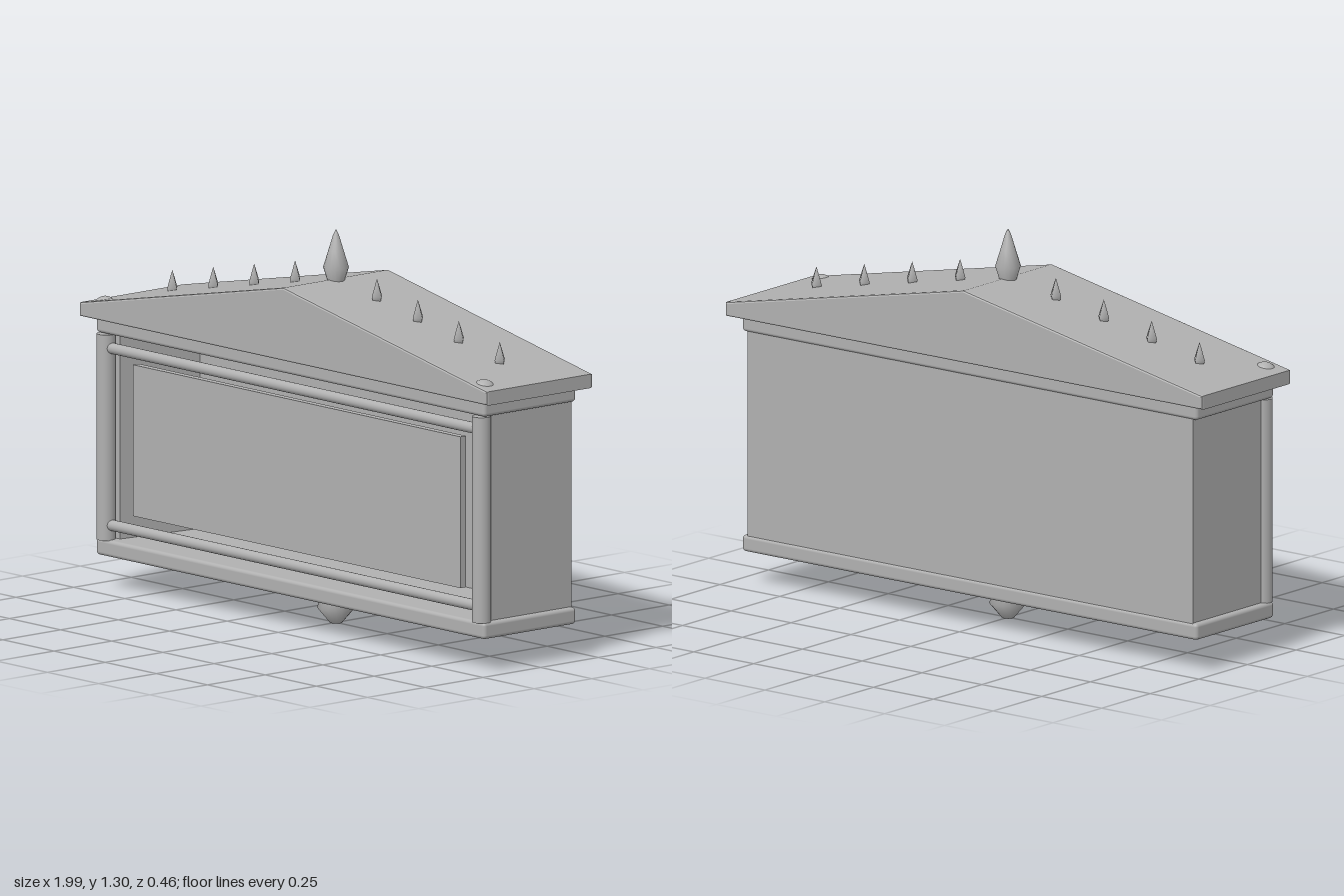
import * as THREE from 'three';
import { RoundedBoxGeometry } from 'three/addons/geometries/RoundedBoxGeometry.js';

export function createModel() {
  const model = new THREE.Group();
  const grey = new THREE.MeshStandardMaterial({ color: 0xb0b0b0 });
  grey.name = 'plain grey';

  const add = (name, geometry, x = 0, y = 0, z = 0) => {
    const mesh = new THREE.Mesh(geometry, grey);
    mesh.name = name;
    mesh.position.set(x, y, z);
    model.add(mesh);
    return mesh;
  };
  const shapeOf = (pts) => new THREE.Shape(pts.map(([x, y]) => new THREE.Vector2(x, y)));
  const lathe = (pts, sides) =>
    new THREE.LatheGeometry(pts.map(([r, y]) => new THREE.Vector2(r, y)), sides);

  // Floor and ceiling slabs with softened edges
  add('bottomSlab', new RoundedBoxGeometry(1.9, 0.055, 0.4, 3, 0.012), 0, 0.1375, 0);
  add('topSlab', new RoundedBoxGeometry(1.9, 0.055, 0.4, 3, 0.012), 0, 0.8725, 0);

  // Case walls: U-shaped plan, open at the front (plan y is -z)
  const plan = shapeOf([
    [-0.93, -0.155], [-0.88, -0.155], [-0.84, 0.155], [0.84, 0.155],
    [0.88, -0.155], [0.93, -0.155], [0.93, 0.195], [-0.93, 0.195],
  ]);
  const walls = new THREE.ExtrudeGeometry(plan, { depth: 0.69, bevelEnabled: false });
  walls.rotateX(-Math.PI / 2);
  add('caseWalls', walls, 0, 0.16, 0);

  // Display panel floating inside the front opening
  add('frontPanel', new THREE.BoxGeometry(1.6, 0.5, 0.025), 0, 0.505, 0.158);

  // Gabled roof
  const gable = shapeOf([[-0.99, 0.9], [0.99, 0.9], [0.99, 0.935], [0, 1.13], [-0.99, 0.935]]);
  const roof = new THREE.ExtrudeGeometry(gable, {
    depth: 0.44, bevelThickness: 0.01, bevelSize: 0.006, bevelSegments: 2,
  });
  add('roof', roof, 0, 0, -0.22);

  // Round corner posts, each ending in a ball that shows through the roof
  for (const side of [-1, 1]) {
    add('cornerPost', new THREE.CylinderGeometry(0.031, 0.031, 0.68, 24), side * 0.917, 0.503, 0.183);
    add('postBall', new THREE.SphereGeometry(0.04, 24, 16), side * 0.925, 0.925, 0.18);
  }

  // Horizontal rails across the front
  for (const y of [0.213, 0.798]) {
    const rail = new THREE.CylinderGeometry(0.018, 0.018, 1.79, 20);
    rail.rotateZ(Math.PI / 2);
    add('frontRail', rail, 0, y, 0.183);
  }

  // Row of small spikes down both roof slopes
  const spike = lathe([[0, -0.01], [0.016, -0.01], [0.022, 0.012], [0.008, 0.05], [0, 0.07]], 4);
  for (const side of [-1, 1]) {
    for (let i = 1; i <= 4; i++) {
      const x = 0.2 * i;
      add('roofSpike', spike, side * x, 1.136 - 0.2 * x, 0);
    }
  }

  // Tall centre finial and hanging bottom finial
  add('ridgeFinial', lathe([
    [0, 1.1], [0.024, 1.1], [0.028, 1.13], [0.042, 1.175], [0.025, 1.23], [0.01, 1.28], [0, 1.3],
  ], 16));
  add('bottomFinial', lathe([[0, 0], [0.02, 0], [0.062, 0.05], [0.042, 0.1], [0.04, 0.12]], 16));

  return model;
}
